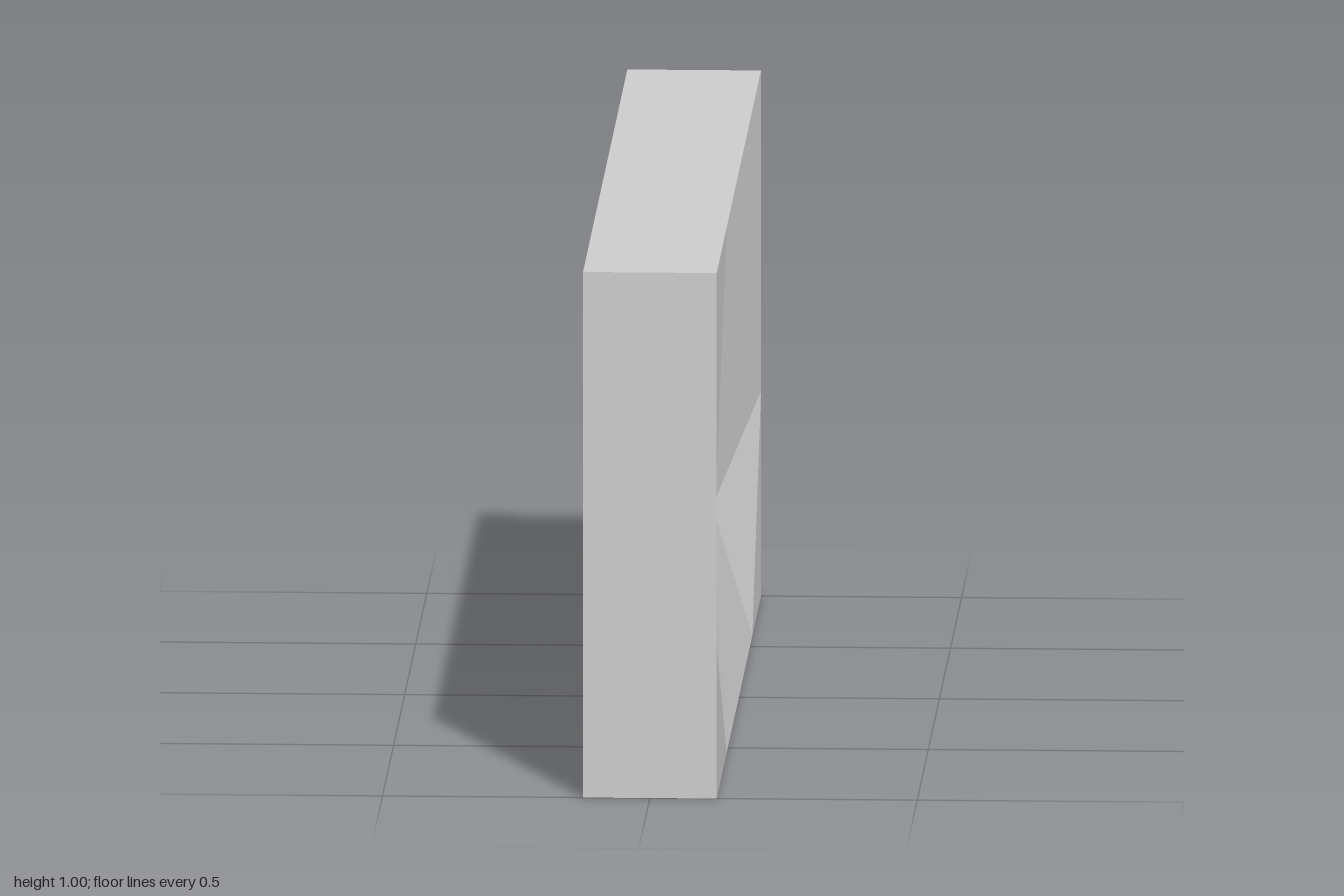
import * as THREE from 'three';

const X = 0.125; // half the wall thickness

export function createModel() {
  const group = new THREE.Group();
  const material = new THREE.MeshStandardMaterial({ color: 0xcccccc, flatShading: true });

  const meshFrom = (name, polygons) => {
    const pos = [];
    for (const p of polygons) {
      for (let i = 1; i < p.length - 1; i++) pos.push(...p[0], ...p[i], ...p[i + 1]);
    }
    const geometry = new THREE.BufferGeometry();
    geometry.setAttribute('position', new THREE.Float32BufferAttribute(pos, 3));
    geometry.computeVertexNormals();
    const mesh = new THREE.Mesh(geometry, material);
    mesh.name = name;
    group.add(mesh);
  };

  // Rings run bottom +z, bottom -z, top -z, top +z
  const rim = (x) => [[x, 0, 1], [x, 0, -1], [x, 1, -1], [x, 1, 1]];
  const outer = rim(X), back = rim(-X);
  const wide = [[0.04, 0.31, 0.55], [0.05, 0.245, -0.61], [0.05, 0.845, -0.61], [0.04, 0.68, 0.55]];
  const narrow = [[-0.107, 0.348, 0.385], [-0.115, 0.287, -0.46], [-0.055, 0.81, -0.555], [-0.127, 0.625, 0.333]];
  const band = (fn) => [0, 1, 2, 3].map((i) => fn(i, (i + 1) % 4));

  // Dished side: facets slope from the rim in to the wide opening
  const [D, C, B, A] = wide;
  const e = (y, z) => [X, y, z];
  meshFrom('dishedFace', [
    [B, e(1, -1), e(1, 0.55), A],
    [B, e(0.89, -1), e(1, -1)],
    [e(0.61, 1), A, e(1, 0.55), e(1, 1)],
    [e(0.29, 1), D, A, e(0.61, 1)],
    [e(0.29, 1), e(0, 1), e(0, 0.55), D],
    [e(0, 0.55), e(0, -0.61), C, D],
    [e(0.39, -1), C, e(0, -0.61), e(0, -1)],
    [C, e(0.39, -1), e(0.89, -1), B],
  ]);

  // Tapering sides of the opening, the plain face, and the wall's ends, top and base
  meshFrom('windowReveal', band((i, j) => [wide[i], wide[j], narrow[j], narrow[i]]));
  meshFrom('plainFace', band((i, j) => [narrow[i], narrow[j], back[j], back[i]]));
  meshFrom('wallEdges', band((i, j) => [outer[j], outer[i], back[i], back[j]]));

  // Window bars, each set into the sloping sill and lintel
  for (let i = 0; i < 4; i++) {
    const z = 0.315 - i * 0.252;
    const bottom = 0.312 - i * 0.015, top = 0.685 + i * 0.037;
    const bar = new THREE.Mesh(new THREE.CylinderGeometry(0.023, 0.023, top - bottom, 6), material);
    bar.name = `windowBar${i + 1}`;
    bar.position.set(-0.027, (top + bottom) / 2, z);
    group.add(bar);
  }
  return group;
}
